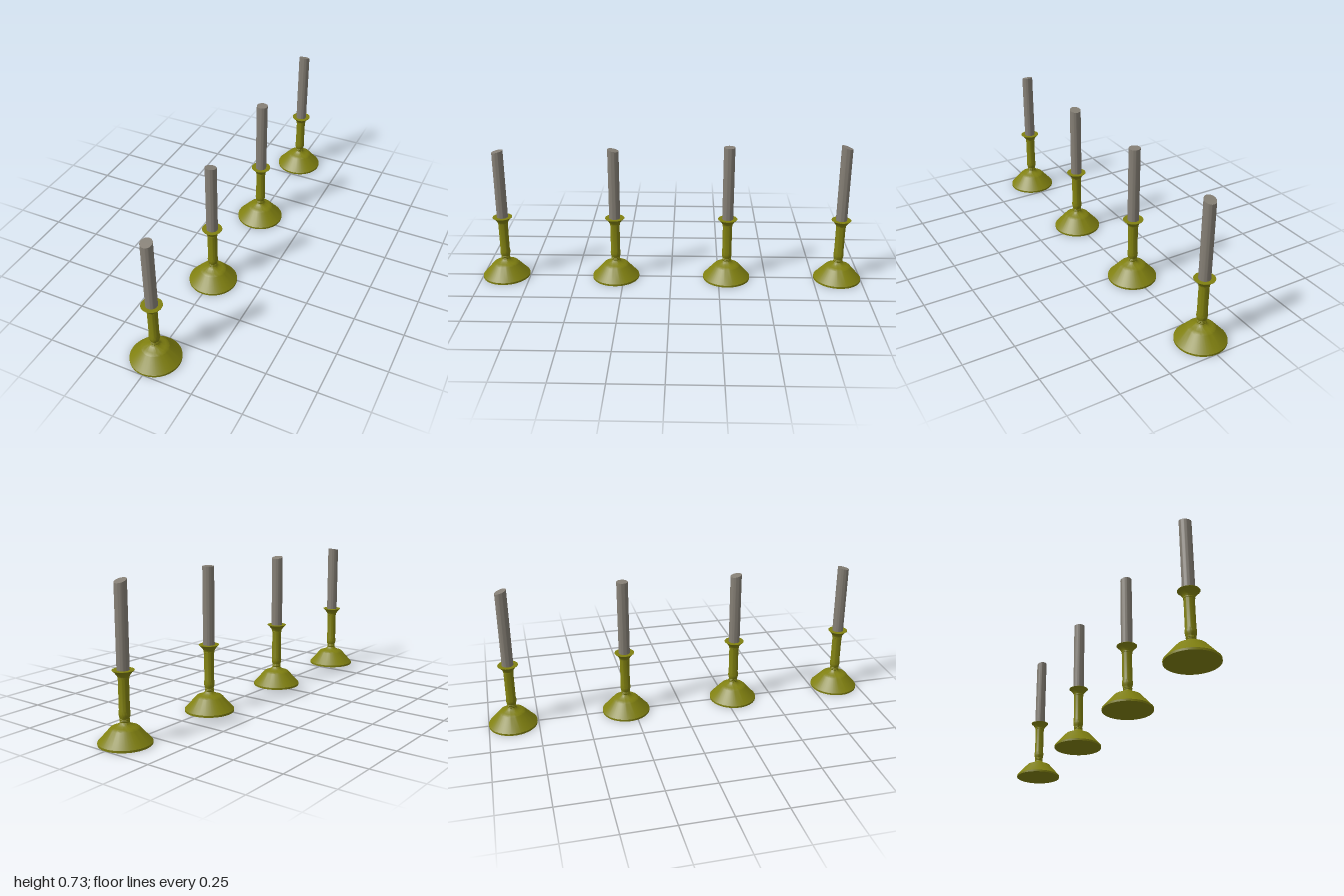
import * as THREE from 'three';
import { toCreasedNormals } from 'three/addons/utils/BufferGeometryUtils.js';

const brass = new THREE.MeshStandardMaterial({ color: 0x808010 });
const wax = new THREE.MeshStandardMaterial({ color: 0x857f75 });
const SEGMENTS = 48;
const CUP_TOP = 0.335;

// Turned profiles as [radius, height], from bottom to top
const profiles = {
  base: [
    [0, 0], [0.1225, 0], [0.1225, 0.01], [0.12, 0.012], [0.067, 0.072],
    [0.064, 0.075], [0.05, 0.08], [0.036, 0.086], [0.026, 0.092], [0.021, 0.1],
  ],
  stem: [
    [0.021, 0.1], [0.0225, 0.103], [0.0225, 0.106], [0.021, 0.108], [0.0225, 0.11], [0.0225, 0.113],
    [0.021, 0.115], [0.0235, 0.122], [0.0255, 0.131], [0.0262, 0.14], [0.0255, 0.149],
    [0.0242, 0.155], [0.0242, 0.295],
  ],
  cup: [
    [0.0242, 0.295], [0.026, 0.296], [0.026, 0.3], [0.0255, 0.302], [0.028, 0.308],
    [0.033, 0.316], [0.04, 0.325], [0.05, 0.334], [0.05, CUP_TOP], [0, CUP_TOP],
  ],
};

function turned(name) {
  const points = profiles[name].map(([r, y]) => new THREE.Vector2(r, y));
  const mesh = new THREE.Mesh(toCreasedNormals(new THREE.LatheGeometry(points, SEGMENTS), 0.5), brass);
  mesh.name = name;
  return mesh;
}

// Candle whose top is cut at a slant along z
function candle(topY, slope) {
  const height = topY - CUP_TOP;
  const geometry = new THREE.CylinderGeometry(0.0285, 0.0285, height, SEGMENTS);
  geometry.translate(0, CUP_TOP + height / 2, 0);
  const p = geometry.attributes.position;
  for (let i = 0; i < p.count; i++) {
    if (p.getY(i) > CUP_TOP + height / 2) p.setY(i, topY + slope * p.getZ(i));
  }
  const mesh = new THREE.Mesh(toCreasedNormals(geometry, 0.5), wax);
  mesh.name = 'candle';
  return mesh;
}

export function createModel() {
  const model = new THREE.Group();
  model.name = 'candlesticks';
  // Position along z, height and slant of each candle top
  const sticks = [
    { z: 0.8775, top: 0.691, slope: -0.22 },
    { z: 0.2925, top: 0.702, slope: 0.2 },
    { z: -0.2925, top: 0.721, slope: 0 },
    { z: -0.8775, top: 0.725, slope: 0.33 },
  ];
  for (const { z, top, slope } of sticks) {
    const stick = new THREE.Group();
    stick.name = 'candlestick';
    stick.position.z = z;
    stick.add(turned('base'), turned('stem'), turned('cup'), candle(top, slope));
    model.add(stick);
  }
  return model;
}
